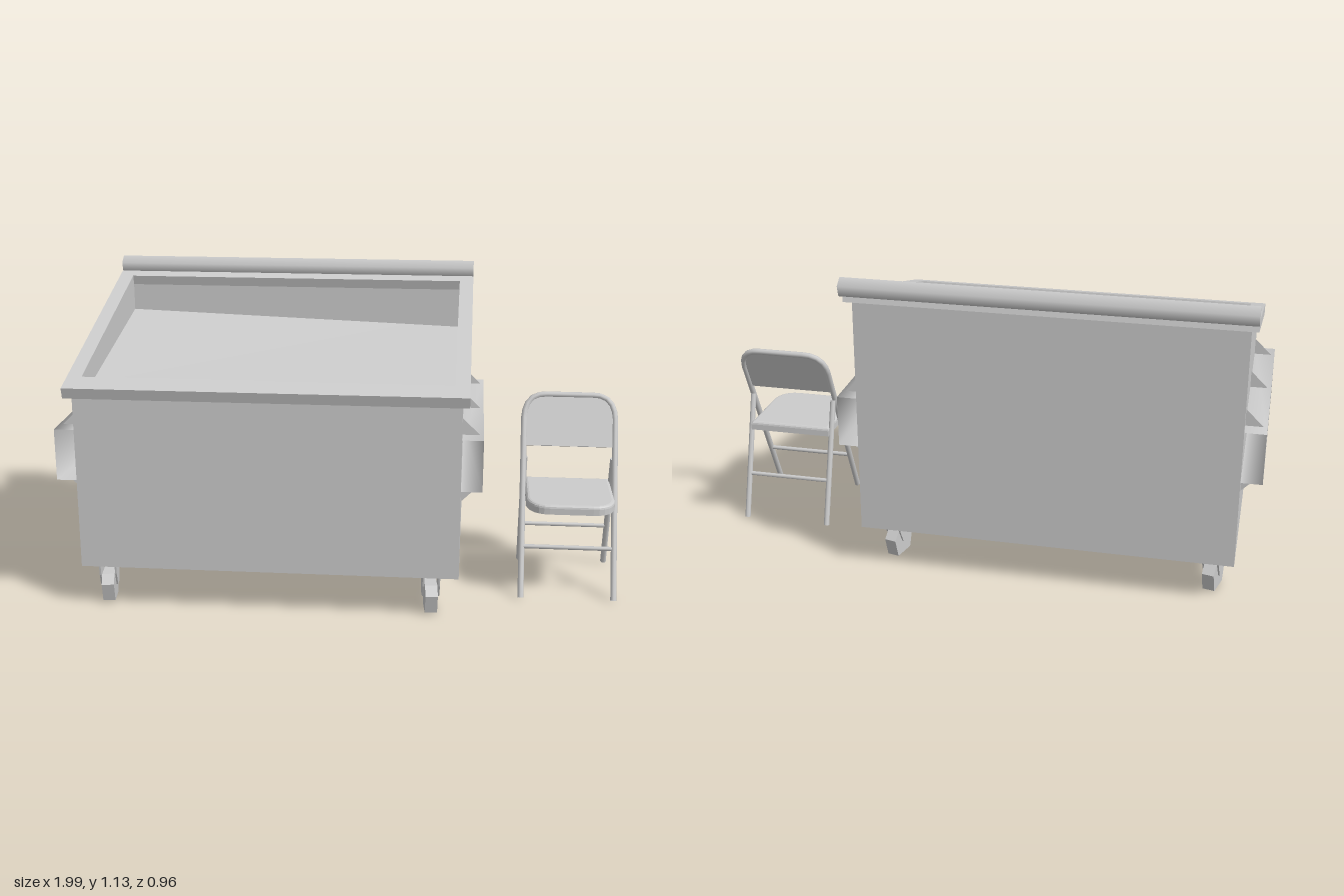
import * as THREE from 'three';

const mat = new THREE.MeshStandardMaterial({ color: 0xcccccc });
const sheetMat = new THREE.MeshStandardMaterial({ color: 0xcccccc, side: THREE.DoubleSide });
const V = (x, y, z) => new THREE.Vector3(x, y, z);

function add(parent, name, geometry, material = mat) {
  const mesh = new THREE.Mesh(geometry, material);
  mesh.name = name;
  parent.add(mesh);
  return mesh;
}

// Sheet made of four-cornered faces; smooth keeps shared corners
function sheet(points, quads, smooth = false) {
  let g = new THREE.BufferGeometry().setFromPoints(points);
  g.setIndex(quads.flatMap(([a, b, c, d]) => [a, b, c, a, c, d]));
  if (!smooth) g = g.toNonIndexed();
  g.computeVertexNormals();
  return g;
}

function polygon(points) {
  return new THREE.Shape(points.map(([x, y]) => new THREE.Vector2(x, y)));
}

// Plate with its outline in (z, y) and its thickness centred along x
function sidePlate(points, width) {
  const g = new THREE.ExtrudeGeometry(polygon(points), { depth: width, bevelEnabled: false });
  return g.translate(0, 0, -width / 2).rotateY(-Math.PI / 2);
}

function rod(a, b, r) {
  const g = new THREE.CylinderGeometry(r, r, a.distanceTo(b), 8);
  const dir = b.clone().sub(a).normalize();
  g.applyQuaternion(new THREE.Quaternion().setFromUnitVectors(V(0, 1, 0), dir));
  const mid = a.clone().add(b).multiplyScalar(0.5);
  return g.translate(mid.x, mid.y, mid.z);
}

function createCaster(x, z, turn) {
  const caster = new THREE.Group();
  caster.name = 'caster';
  add(caster, 'wheel', sidePlate([[-0.043, 0.007], [0.043, 0.007], [0.062, 0.076],
    [0.036, 0.108], [-0.036, 0.108], [-0.062, 0.076]], 0.044));
  for (const side of [-1, 1]) {
    add(caster, 'forkPlate', sidePlate([[-0.018, 0.06], [0.018, 0.06], [0.038, 0.105],
      [0.048, 0.155], [-0.048, 0.155], [-0.038, 0.105]], 0.006)).position.x = side * 0.028;
  }
  caster.position.set(x, 0, z);
  caster.rotation.y = turn;
  return caster;
}

function createDumpster() {
  const bin = new THREE.Group();
  bin.name = 'dumpster';
  bin.position.x = -0.25;

  // Open body with a sloping top
  const W = 0.673, F = 0.44, B = -0.4;
  add(bin, 'body', sheet([
    V(-W, 0.159, F), V(W, 0.159, F), V(W, 0.159, B), V(-W, 0.159, B),
    V(-W, 0.797, F), V(W, 0.797, F), V(W, 1.026, B), V(-W, 1.026, B)],
  [[0, 1, 5, 4], [1, 2, 6, 5], [2, 3, 7, 6], [3, 0, 4, 7], [3, 2, 1, 0]]), sheetMat);

  // Tilted rim with a rectangular opening
  const R = 0.697, O = 0.645;
  const outline = polygon([[-R, 0], [R, 0], [R, 0.932], [-R, 0.932]]);
  outline.holes.push(polygon([[-O, 0.083], [-O, 0.886], [O, 0.886], [O, 0.083]]));
  const rim = add(bin, 'rim', new THREE.ExtrudeGeometry(outline, { depth: 0.04, bevelEnabled: false }));
  rim.position.set(0, 0.789, 0.47);
  rim.rotation.x = 0.2657 - Math.PI / 2;

  // Inner walls and the uneven surface of the contents
  const f = 0.392, b = -0.383;
  const inner = [V(-O, 0.775, f), V(O, 0.775, f), V(O, 0.878, b), V(-O, 0.925, b),
    V(-O, 0.815, f), V(O, 0.815, f), V(O, 1.025, b), V(-O, 1.025, b)];
  add(bin, 'innerWalls', sheet(inner,
    [[1, 0, 4, 5], [2, 1, 5, 6], [3, 2, 6, 7], [0, 3, 7, 4]]), sheetMat);
  add(bin, 'contents', sheet(inner.slice(0, 4), [[0, 1, 2, 3]], true), sheetMat);

  // Five-sided hinge bar along the back
  const bar = new THREE.CylinderGeometry(0.034, 0.034, 2 * R, 5);
  bar.rotateZ(Math.PI / 2).rotateX(-Math.PI / 2);
  add(bin, 'hingeBar', bar).position.set(0, 1.094, -0.446);

  // Open-ended lifting sleeves with triangular gussets
  for (const s of [-1, 1]) {
    const section = [[W, 0.664], [0.747, 0.664], [0.747, 0.479], [W, 0.479]];
    const pts = [0.428, -0.392].flatMap(z => section.map(([x, y]) => V(s * x, y, z)));
    const quads = [0, 1, 2].map(i => s > 0 ? [i, i + 4, i + 5, i + 1] : [i, i + 1, i + 5, i + 4]);
    add(bin, 'liftingSleeve', sheet(pts, quads, true), sheetMat);
    for (const z of [0.36, 0.02, -0.33]) {
      for (const [y, dy] of [[0.664, 0.06], [0.479, -0.06]]) {
        const tri = polygon([[s * W, y], [s * 0.734, y], [s * W, y + dy]]);
        add(bin, 'gusset', new THREE.ShapeGeometry(tri), sheetMat).position.z = z;
      }
    }
  }

  for (const x of [-0.598, 0.572]) {
    bin.add(createCaster(x, 0.349, 0.12), createCaster(x, -0.272, -0.25));
  }
  return bin;
}

function createChair() {
  const chair = new THREE.Group();
  chair.name = 'foldingChair';
  chair.position.x = 0.817;
  const X = 0.168, r = 0.011;

  // Leaning hoop: front legs running up into the back
  const frame = new THREE.Group();
  frame.name = 'backFrame';
  frame.position.set(0, 0.006, 0.228);
  frame.rotation.x = -0.44;
  chair.add(frame);
  const path = new THREE.CurvePath();
  path.add(new THREE.LineCurve3(V(-X, 0, 0), V(-X, 0.67, 0)));
  path.add(new THREE.QuadraticBezierCurve3(V(-X, 0.67, 0), V(-X + 0.005, 0.757, 0), V(-0.09, 0.757, 0)));
  path.add(new THREE.LineCurve3(V(-0.09, 0.757, 0), V(0.09, 0.757, 0)));
  path.add(new THREE.QuadraticBezierCurve3(V(0.09, 0.757, 0), V(X - 0.005, 0.757, 0), V(X, 0.67, 0)));
  path.add(new THREE.LineCurve3(V(X, 0.67, 0), V(X, 0, 0)));
  add(frame, 'hoop', new THREE.TubeGeometry(path, 64, r, 8), sheetMat);

  // Back panel filling the top of the hoop
  const panel = new THREE.Shape();
  panel.moveTo(-X, 0.563);
  panel.lineTo(X, 0.563);
  panel.lineTo(X, 0.67);
  panel.quadraticCurveTo(X - 0.005, 0.757, 0.09, 0.757);
  panel.lineTo(-0.09, 0.757);
  panel.quadraticCurveTo(-X + 0.005, 0.757, -X, 0.67);
  add(frame, 'backPanel', new THREE.ExtrudeGeometry(panel,
    { depth: 0.008, bevelEnabled: false, curveSegments: 6 })).position.z = -0.004;
  add(frame, 'frontCrossbar', rod(V(-X, 0.188, 0), V(X, 0.188, 0), 0.008));

  // Rear legs
  const L = 0.163;
  for (const s of [-1, 1]) {
    add(chair, 'rearLeg', rod(V(s * L, 0.008, -0.147), V(s * L, 0.475, -0.002), r));
  }
  add(chair, 'rearCrossbar', rod(V(-L, 0.175, -0.095), V(L, 0.175, -0.095), 0.008));

  // Seat with rounded front corners and soft edges
  const e = 0.012, w = 0.158 - e, front = -0.265 + e, back = 0.058 - e;
  const seat = new THREE.Shape();
  seat.moveTo(-w, back);
  seat.lineTo(-w, front + 0.07);
  seat.quadraticCurveTo(-w + 0.01, front, -w + 0.07, front);
  seat.lineTo(w - 0.07, front);
  seat.quadraticCurveTo(w - 0.01, front, w, front + 0.07);
  seat.lineTo(w, back);
  const seatGeo = new THREE.ExtrudeGeometry(seat, { depth: 0.022, bevelThickness: e,
    bevelSize: e, bevelSegments: 3, curveSegments: 6 });
  // Flatten the lower bevel so the underside stays flat
  const p = seatGeo.attributes.position;
  for (let i = 0; i < p.count; i++) p.setZ(i, Math.max(p.getZ(i), 0));
  seatGeo.rotateX(-Math.PI / 2).scale(1, 1, 1);
  seatGeo.computeVertexNormals();
  const seatMesh = add(chair, 'seat', seatGeo);
  seatMesh.position.y = 0.346;
  seatMesh.rotation.y = Math.PI;
  seatMesh.position.z = 0;
  // Outline runs front-to-back along -y, so no half turn is needed
  seatMesh.rotation.y = 0;
  seatGeo.rotateY(Math.PI).rotateY(Math.PI);
  return chair;
}

export function createModel() {
  const model = new THREE.Group();
  model.name = 'dumpsterAndChair';
  model.add(createDumpster(), createChair());
  return model;
}
